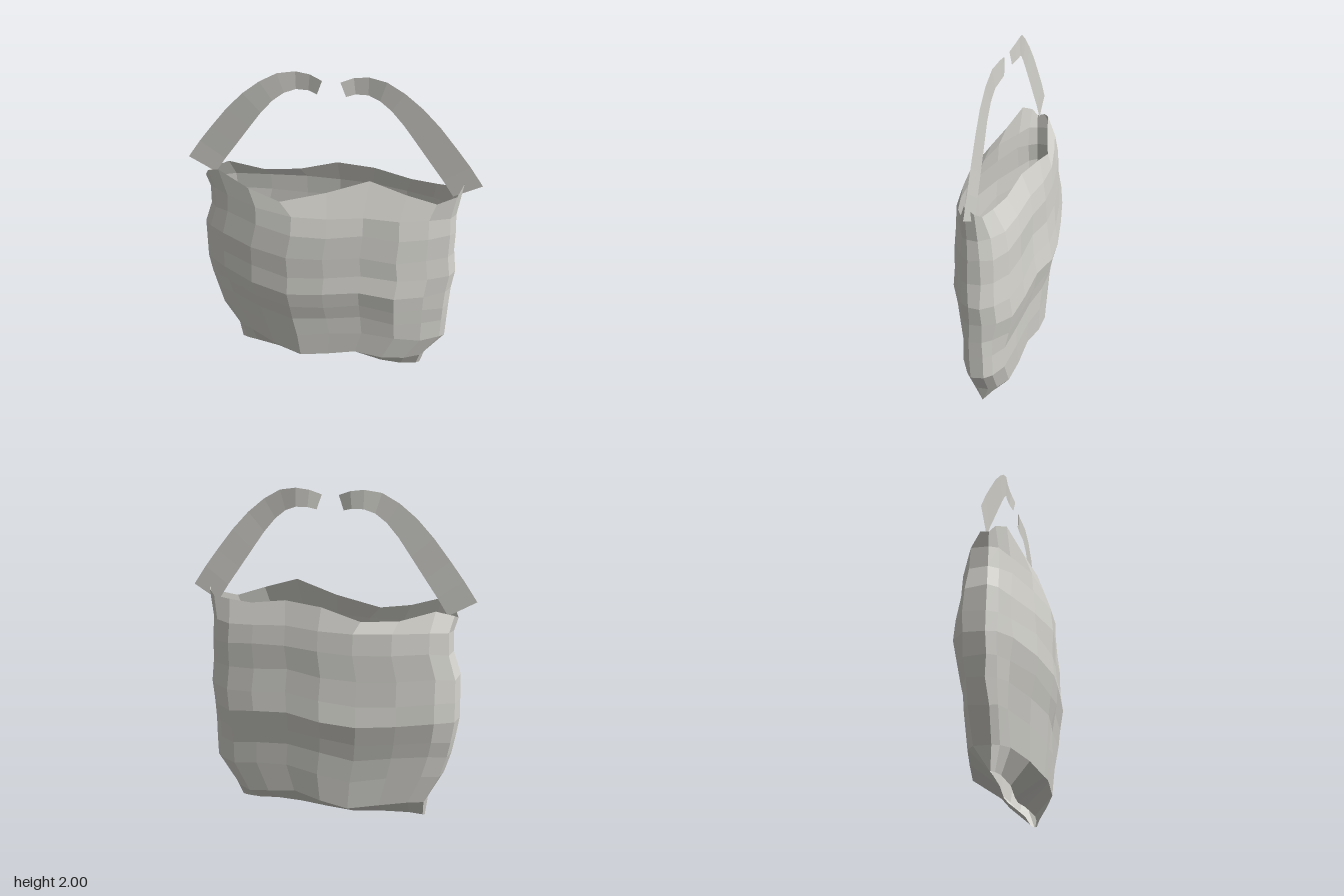
import * as THREE from 'three';

const canvas = new THREE.MeshStandardMaterial({ color: 0xd4d3cd, side: THREE.DoubleSide });
canvas.name = 'greyCanvas';

// Faceted surface through rows of points, with one normal for each four-sided patch
function skin(rows, closed, name) {
  const n = rows[0].length, positions = [], normals = [];
  const point = (r, c) => new THREE.Vector3(...rows[r][c % n]);
  for (let r = 0; r < rows.length - 1; r++) {
    for (let c = 0; c < (closed ? n : n - 1); c++) {
      const a = point(r, c), b = point(r, c + 1), d = point(r + 1, c + 1), e = point(r + 1, c);
      const normal = d.clone().sub(a).cross(e.clone().sub(b)).normalize();
      for (const p of [a, b, d, a, d, e]) {
        positions.push(...p);
        normals.push(...normal);
      }
    }
  }
  const geometry = new THREE.BufferGeometry();
  geometry.setAttribute('position', new THREE.Float32BufferAttribute(positions, 3));
  geometry.setAttribute('normal', new THREE.Float32BufferAttribute(normals, 3));
  const mesh = new THREE.Mesh(geometry, canvas);
  mesh.name = name;
  return mesh;
}

// Repeatable wrinkle between -1 and 1
function wrinkle(r, c) {
  const s = Math.sin(r * 12.9898 + c * 78.233) * 43758.5453;
  return (s - Math.floor(s)) * 2 - 1;
}

// Widest cross-section: fraction across the width, depth; front then back
const section = [
  [0, 0.01], [0.03, 0.06], [0.09, 0.115], [0.22, 0.21], [0.37, 0.27], [0.51, 0.255],
  [0.65, 0.224], [0.79, 0.21], [0.9, 0.135], [0.98, 0.07], [1, 0.02],
  [0.997, -0.06], [0.967, -0.12], [0.9, -0.187], [0.79, -0.22], [0.65, -0.235],
  [0.51, -0.275], [0.37, -0.275], [0.22, -0.235], [0.08, -0.19], [0.01, -0.12],
];

// Height, left edge, right edge, front depth scale, back depth scale
const levels = [
  [0.14, -0.625, 0.615, 0.70, 0.74],
  [0.32, -0.715, 0.732, 0.76, 0.76],
  [0.46, -0.755, 0.735, 0.83, 0.80],
  [0.57, -0.775, 0.737, 0.92, 0.88],
  [0.69, -0.793, 0.742, 1.00, 0.99],
  [0.81, -0.79, 0.757, 0.96, 0.93],
  [0.95, -0.785, 0.738, 0.94, 0.87],
  [1.10, -0.74, 0.737, 0.92, 0.84],
  [1.22, -0.735, 0.73, 0.82, 0.77],
];

// Depth of the open slit along the bottom
const slit = [
  0, 0.015, 0.03, 0.045, 0.03, 0.012, 0.02, 0.045, 0.035, 0.015, 0,
  -0.005, -0.01, -0.012, -0.015, -0.045, -0.042, -0.03, -0.012, -0.01, -0.005,
];

// Points of the uneven rim around the open top
const rim = [
  [-0.757, 1.30, 0.01], [-0.73, 1.35, 0.04], [-0.65, 1.39, 0.085], [-0.46, 1.32, 0.14],
  [-0.265, 1.28, 0.185], [0, 1.35, 0.148], [0.24, 1.44, 0.12], [0.45, 1.375, 0.125],
  [0.62, 1.32, 0.10], [0.725, 1.35, 0.05], [0.758, 1.425, 0.02],
  [0.75, 1.38, -0.03], [0.71, 1.35, -0.06], [0.6, 1.34, -0.085], [0.45, 1.335, -0.115],
  [0.23, 1.37, -0.14], [0, 1.355, -0.185], [-0.23, 1.285, -0.182], [-0.44, 1.29, -0.13],
  [-0.64, 1.35, -0.085], [-0.74, 1.32, -0.04],
];

// The hem sags and lifts in two waves across the width
const sag = (t) => Math.cos(2 * Math.PI * (t - 0.65) / 0.56);

function makeBag() {
  const bottom = section.map(([t], c) => [-0.61 + 1.2 * t, 0.02 + 0.015 * sag(t), slit[c]]);
  const walls = levels.map(([y, left, right, front, back], r) =>
    section.map(([t, z], c) => [
      left + (right - left) * t,
      y + (0.03 - 0.0025 * r) * sag(t) + (r > 0 ? 0.008 * wrinkle(c, r) : 0),
      z * (z > 0 ? front : back) + (r > 0 ? 0.009 * wrinkle(r, c) : 0),
    ]));
  return skin([bottom, ...walls, rim], true, 'bagBody');
}

// Flat strap: outer x, y, inner x, y, and z from the loose end down to the bag
const strap = [
  [0.05, 1.965, 0.08, 1.88, 0.005],
  [0.12, 1.99, 0.13, 1.893, -0.01],
  [0.20, 2.00, 0.20, 1.893, -0.012],
  [0.30, 1.985, 0.265, 1.87, 0],
  [0.40, 1.93, 0.33, 1.82, 0.005],
  [0.50, 1.85, 0.40, 1.74, 0.005],
  [0.60, 1.745, 0.475, 1.635, 0],
  [0.70, 1.62, 0.56, 1.515, -0.005],
  [0.78, 1.515, 0.635, 1.41, -0.01],
  [0.859, 1.40, 0.70, 1.31, -0.012],
];

function makeStrap(side, name) {
  // Rows run upward, and each row runs towards +x, so both straps face the front
  const rows = strap.map(([ox, oy, ix, iy, z]) => {
    const row = [[side * ix, iy, z - 0.003], [side * ox, oy, z + 0.003]];
    return side > 0 ? row : row.reverse();
  });
  return skin(rows.reverse(), false, name);
}

export function createModel() {
  const model = new THREE.Group();
  model.name = 'openBag';
  model.add(makeBag(), makeStrap(1, 'leftStrap'), makeStrap(-1, 'rightStrap'));
  return model;
}
